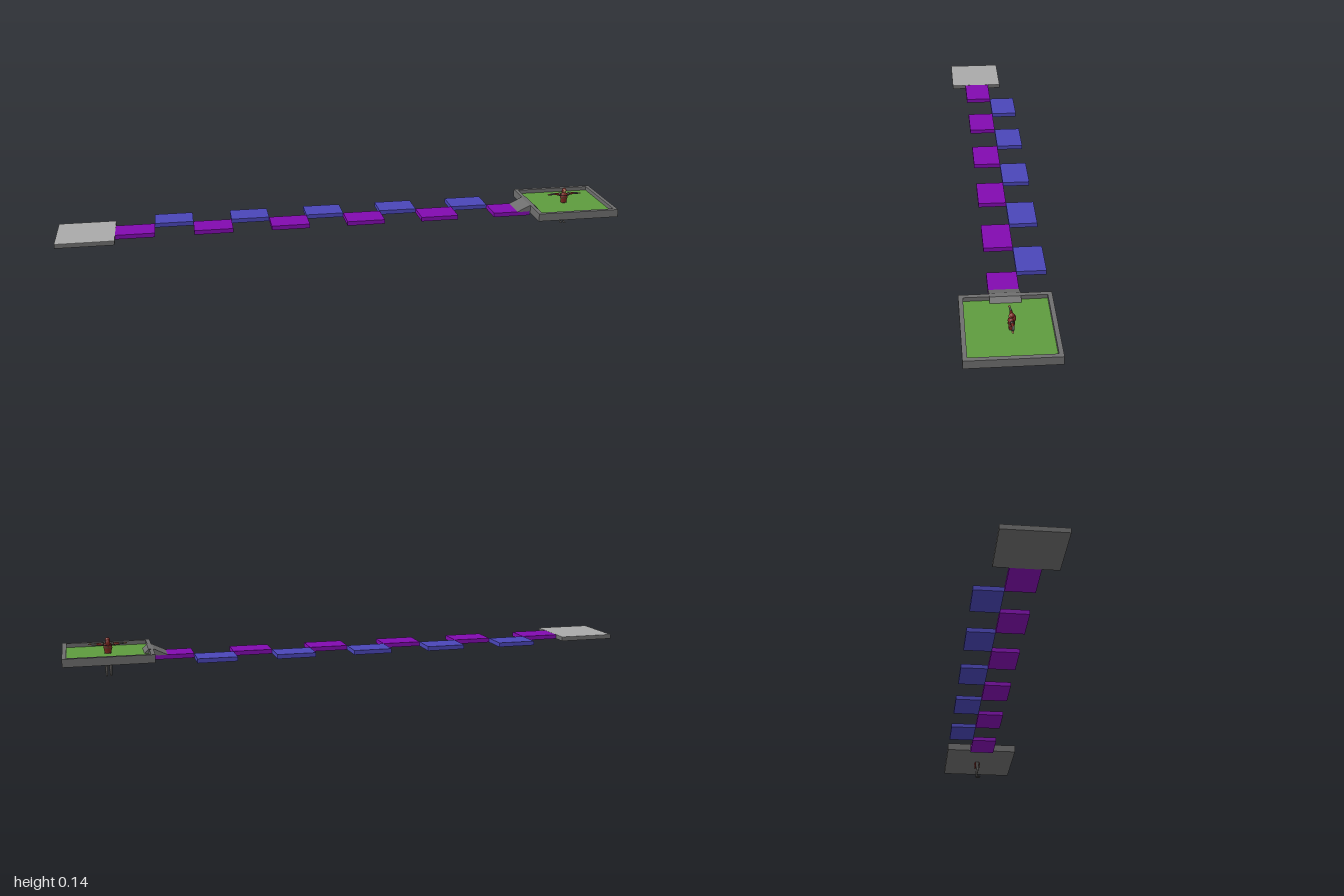
import * as THREE from 'three';

const mat = (name, color) => {
  const m = new THREE.MeshStandardMaterial({ color });
  m.name = name;
  return m;
};

export function createModel() {
  const model = new THREE.Group();
  const stone = mat('stone grey', 0x6e6e6e);
  const pale = mat('pale grey', 0xa9a9a9);
  const grass = mat('grass green', 0x5e9b3e);
  const purple = mat('purple', 0x820ab0);
  const blue = mat('blue', 0x4a46b8);
  const teal = mat('teal', 0x3fcd80);
  const red = mat('dark red', 0x7a2620);
  const armour = mat('armour grey', 0x565452);
  const skin = mat('tan', 0x9c7048);
  const dark = mat('dark brown', 0x33271f);

  const add = (parent, name, geometry, material, x = 0, y = 0, z = 0) => {
    const m = new THREE.Mesh(geometry, material);
    m.name = name;
    m.position.set(x, y, z);
    parent.add(m);
    return m;
  };
  // box given by its two opposite corners
  const block = (name, material, x0, x1, y0, y1, z0, z1, parent = model) =>
    add(parent, name, new THREE.BoxGeometry(x1 - x0, y1 - y0, z1 - z0), material,
      (x0 + x1) / 2, (y0 + y1) / 2, (z0 + z1) / 2);

  // start slab with a pale top
  block('startSlab', stone, -1, -0.8, 0.058, 0.072, -0.097, 0.103);
  block('startSlabTop', pale, -1, -0.8, 0.072, 0.0735, -0.097, 0.103);

  // staggered path of tiles
  const step = 0.1362;
  for (let i = 0; i < 11; i++) {
    const x = -0.8 + i * step;
    if (i % 2) block('blueTile', blue, x, x + step, 0.058, 0.0732, -0.143, -0.047);
    else block('purpleTile', purple, x, x + step, 0.058, 0.0732, -0.047, 0.049);
  }
  block('pathEndFace', teal, 0.698, 0.7, 0.058, 0.0715, -0.047, 0.049);

  // walled arena
  const [ax0, ax1, az0, az1, t] = [0.7, 1, -0.142, 0.143, 0.014];
  block('arenaBase', stone, ax0, ax1, 0.067, 0.079, az0, az1);
  block('arenaGrass', grass, ax0 + t, ax1 - t, 0.079, 0.081, az0 + t, az1 - t);
  for (const x of [ax0, ax1 - t]) block('arenaSideWall', stone, x, x + t, 0.079, 0.095, az0, az1);
  for (const z of [az0, az1 - t]) block('arenaEndWall', stone, ax0 + t, ax1 - t, 0.079, 0.095, z, z + t);

  // ramp over the wall, from the last tile down to the grass
  const profile = new THREE.Shape([[0.65, 0.0725], [0.73, 0.0725], [0.73, 0.081], [0.716, 0.0955], [0.698, 0.0955]]
    .map(([x, y]) => new THREE.Vector2(x, y)));
  add(model, 'ramp', new THREE.ExtrudeGeometry(profile, { depth: 0.096, bevelEnabled: false }), stone, 0, 0, -0.047);

  // small figure with arms spread
  const figure = new THREE.Group();
  figure.name = 'figure';
  figure.position.set(0.849, 0, -0.006);
  model.add(figure);
  const ball = (name, material, r, x, y, z, sx = 1, sy = 1, sz = 1) =>
    add(figure, name, new THREE.SphereGeometry(r, 12, 8), material, x, y, z).scale.set(sx, sy, sz);
  const limb = (name, material, a, b, ra, rb) => {
    const p = new THREE.Vector3(...a), d = new THREE.Vector3(...b).sub(p);
    const m = add(figure, name, new THREE.CylinderGeometry(rb, ra, d.length(), 8), material);
    m.position.copy(p).addScaledVector(d, 0.5);
    m.quaternion.setFromUnitVectors(new THREE.Vector3(0, 1, 0), d.normalize());
  };

  for (const s of [-1, 1]) {
    limb('thigh', armour, [s * 0.007, 0.036, 0], [s * 0.006, 0.066, 0], 0.005, 0.0075);
    limb('shin', armour, [s * 0.007, 0.005, -0.004], [s * 0.007, 0.036, 0], 0.0035, 0.0055);
    ball('knee', armour, 0.0052, s * 0.007, 0.036, 0.002);
    ball('foot', armour, 0.004, s * 0.007, 0.003, 0.003, 1, 0.75, 2.6);
    ball('shoulder', dark, 0.0065, s * 0.017, 0.113, -0.001);
    limb('upperArm', red, [s * 0.016, 0.113, -0.001], [s * 0.037, 0.114, -0.002], 0.0048, 0.0038);
    limb('forearm', armour, [s * 0.037, 0.114, -0.002], [s * 0.054, 0.114, 0], 0.0042, 0.003);
    ball('hand', skin, 0.0036, s * 0.059, 0.114, 0.001, 1.6, 0.7, 1);
  }
  const torso = new THREE.LatheGeometry(
    [[0, 0.062], [0.013, 0.064], [0.0105, 0.082], [0.014, 0.1], [0.015, 0.112], [0.006, 0.119], [0, 0.12]]
      .map(([r, y]) => new THREE.Vector2(r, y)), 12);
  add(figure, 'torso', torso, red).scale.z = 0.7;
  const ring = (name, material, y, r, tube) => {
    const m = add(figure, name, new THREE.TorusGeometry(r, tube, 6, 14), material, 0, y, 0);
    m.rotation.x = Math.PI / 2;
    m.scale.y = 0.72;
  };
  ring('belt', dark, 0.08, 0.0105, 0.002);
  ring('chestBand', skin, 0.1, 0.0135, 0.002);
  ring('collar', dark, 0.11, 0.0135, 0.002);

  // cloth hanging at the front and back of the hips
  block('backCloth', red, -0.01, 0.01, 0.041, 0.08, -0.011, -0.007, figure);
  block('frontCloth', red, -0.004, 0.004, 0.046, 0.08, 0.0075, 0.0095, figure);

  // head with long hair
  ball('head', skin, 0.0072, 0, 0.126, 0.002, 0.85, 1.1, 0.95);
  ball('hair', red, 0.0085, 0, 0.128, -0.001, 0.95, 0.95, 1);
  ball('hairBack', red, 0.007, 0, 0.118, -0.008, 1.1, 1.6, 0.8);
  return model;
}
